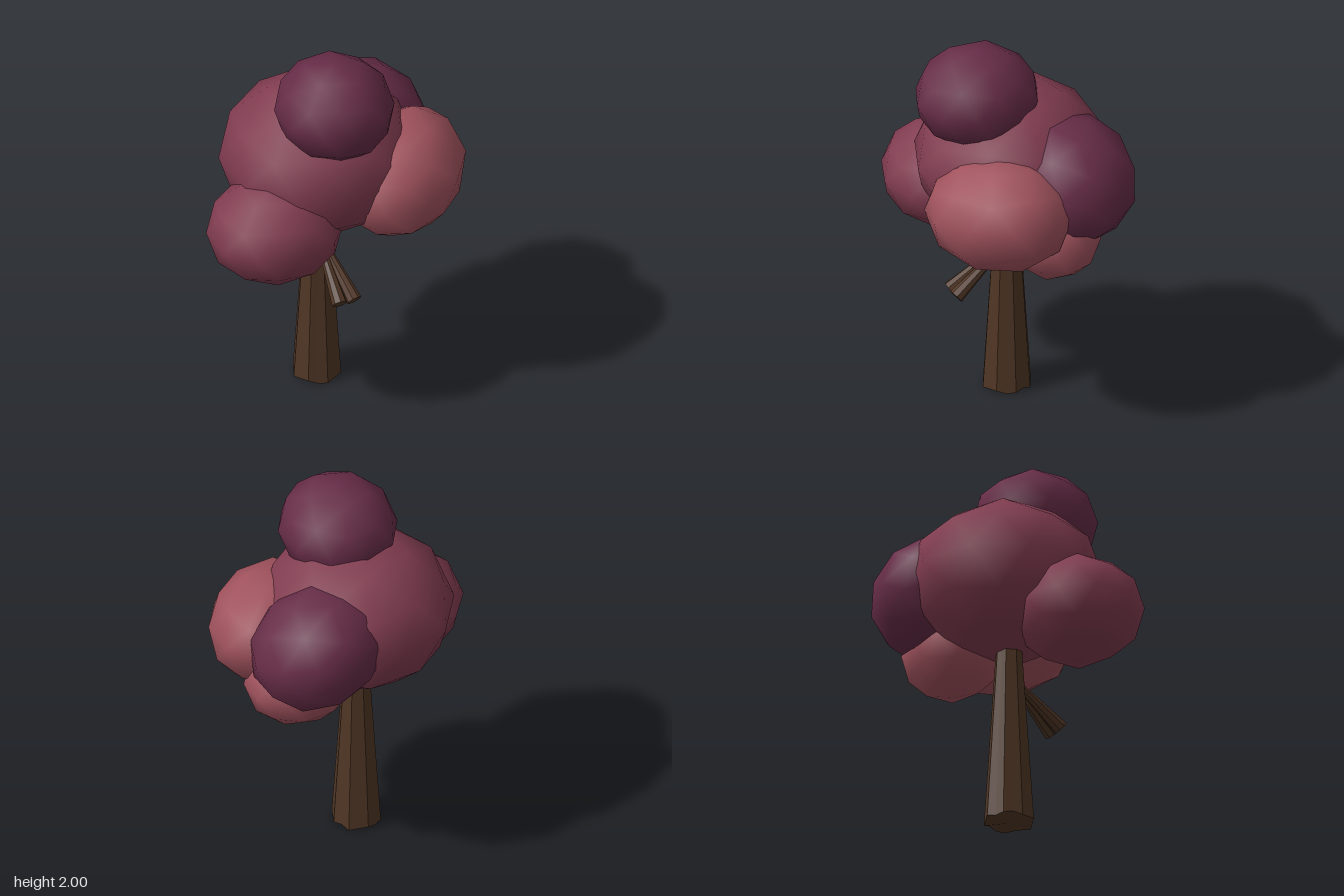
import * as THREE from 'three';
import { mergeVertices } from 'three/addons/utils/BufferGeometryUtils.js';

const paint = (color, flatShading = false) =>
  new THREE.MeshStandardMaterial({ color, flatShading, roughness: 0.9 });

// Low-poly ball with one vertex straight up and shared, smooth normals
function ballGeometry() {
  const g = new THREE.IcosahedronGeometry(1, 1);
  g.deleteAttribute('uv');
  g.deleteAttribute('normal');
  g.rotateZ(-Math.atan(2 / (1 + Math.sqrt(5))));
  return mergeVertices(g, 1e-3);
}

function foliage(name, material, centre, radii, turn = [0, 0, 0]) {
  const g = ballGeometry();
  g.scale(...radii);
  g.computeVertexNormals();
  const mesh = new THREE.Mesh(g, material);
  mesh.name = name;
  mesh.position.set(...centre);
  mesh.rotation.set(...turn, 'ZYX');
  return mesh;
}

// Tapered, fluted trunk with an uneven foot
function trunkGeometry(topRadius, footRadius, height) {
  const sides = 16;
  const g = new THREE.CylinderGeometry(topRadius, footRadius, height, sides, 1);
  g.translate(0, height / 2, 0);
  const p = g.attributes.position;
  for (let i = 0; i < p.count; i++) {
    const x = p.getX(i), y = p.getY(i), z = p.getZ(i);
    if (Math.hypot(x, z) < 1e-4) continue;
    const k = (Math.round((Math.atan2(x, z) / (2 * Math.PI)) * sides) + sides) % sides;
    const flute = k % 2 ? 0.92 : 1;
    p.setXYZ(i, x * flute, y < 0.01 ? (k % 3) * 0.008 : y, z * flute);
  }
  g.computeVertexNormals();
  return g;
}

// Stub that widens from its root to its cut end
function branch(name, material, from, to) {
  const a = new THREE.Vector3(...from), b = new THREE.Vector3(...to);
  const dir = b.clone().sub(a);
  const mesh = new THREE.Mesh(new THREE.CylinderGeometry(0.04, 0.016, dir.length(), 8), material);
  mesh.name = name;
  mesh.position.copy(a).add(b).multiplyScalar(0.5);
  mesh.quaternion.setFromUnitVectors(new THREE.Vector3(0, 1, 0), dir.normalize());
  return mesh;
}

export function createModel() {
  const tree = new THREE.Group();
  tree.name = 'tree';

  const bark = paint(0x503625, true);
  const dark = paint(0x662c47);
  const middle = paint(0x813c50);
  const light = paint(0xa0525d);

  // Wood
  const trunk = new THREE.Mesh(trunkGeometry(0.053, 0.13, 1.2), bark);
  trunk.name = 'trunk';
  trunk.position.set(-0.027, 0, 0.005);
  tree.add(trunk);
  tree.add(branch('branchRight', bark, [-0.025, 0.81, 0.04], [-0.043, 0.602, 0.308]));
  tree.add(branch('branchLeft', bark, [-0.008, 0.81, 0.04], [0.04, 0.602, 0.308]));

  // Crown
  const crown = new THREE.Group();
  crown.name = 'crown';
  crown.add(
    foliage('foliageCentre', middle, [-0.02, 1.345, -0.01], [0.505, 0.415, 0.5]),
    foliage('foliageTop', dark, [-0.01, 1.73, 0.175], [0.305, 0.27, 0.325]),
    foliage('foliageRight', middle, [-0.36, 1.11, 0.21], [0.355, 0.28, 0.33]),
    foliage('foliageLeftFront', light, [0.36, 1.24, 0.2], [0.4, 0.305, 0.31], [0, 0.7, 0.15]),
    foliage('foliageLeftLow', light, [0.35, 1.075, -0.09], [0.295, 0.245, 0.25]),
    foliage('foliageLeftBack', dark, [0.31, 1.335, -0.21], [0.365, 0.305, 0.34], [0, 0, -0.45])
  );
  tree.add(crown);
  return tree;
}
